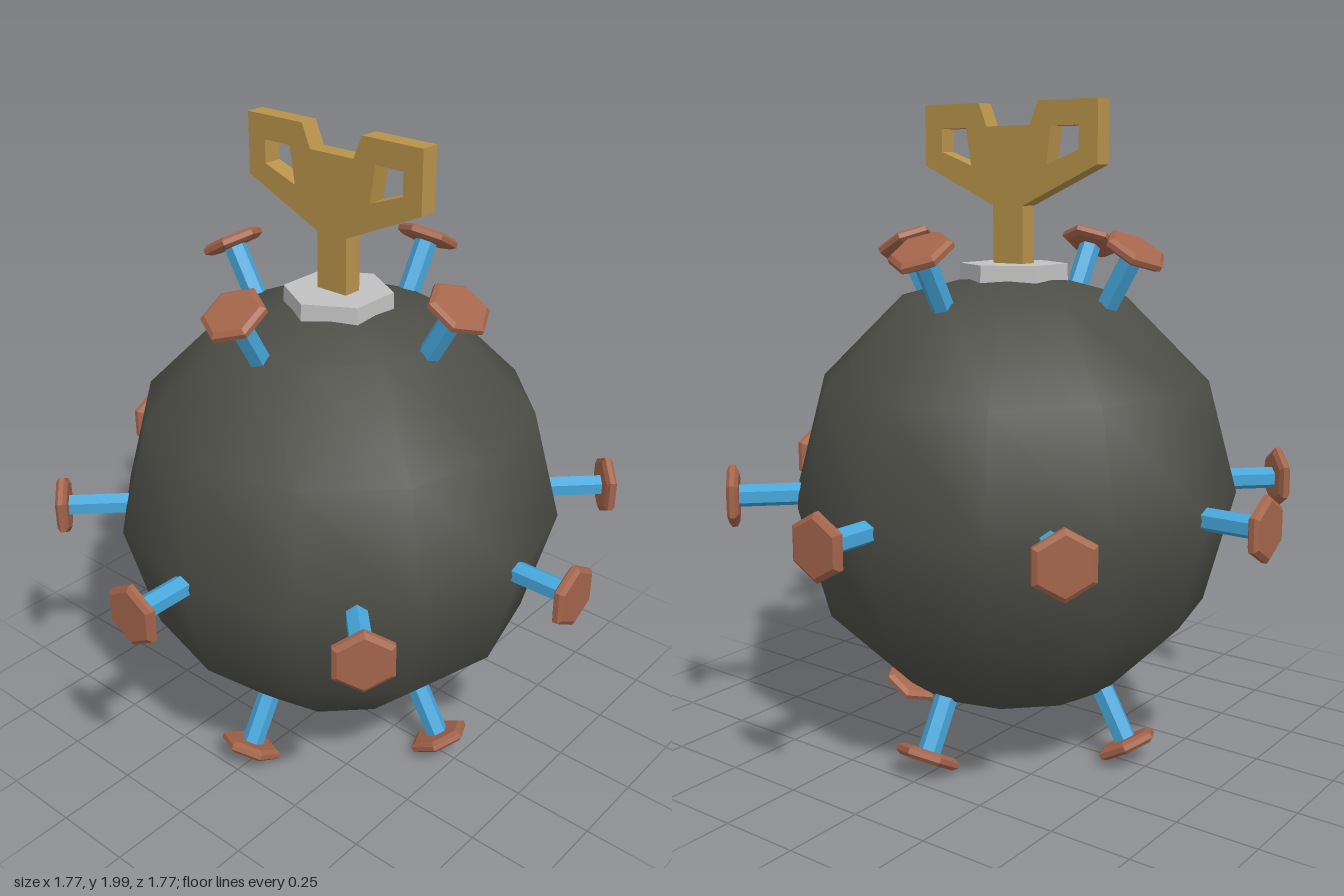
import * as THREE from 'three';

const mat = (name, color) => {
  const m = new THREE.MeshStandardMaterial({ color });
  m.name = name;
  return m;
};

// gives a geometry hard facets
function faceted(geometry) {
  const g = geometry.toNonIndexed();
  g.computeVertexNormals();
  return g;
}

function part(name, geometry, material, y = 0) {
  const mesh = new THREE.Mesh(geometry, material);
  mesh.name = name;
  mesh.position.y = y;
  return mesh;
}

export function createModel() {
  const iron = mat('dark iron', 0x4e4e48);
  const blue = mat('blue', 0x46a6da);
  const copper = mat('copper', 0xa4654b);
  const brass = mat('brass', 0xb8924a);
  const silver = mat('silver', 0xc2c2c2);

  const model = new THREE.Group();
  model.name = 'windUpMine';
  const centreY = 0.82;

  // body
  model.add(part('body', new THREE.SphereGeometry(0.695, 12, 6), iron, centreY));

  // horns: six-sided rod with a bevelled hexagonal cap
  const rodGeo = faceted(new THREE.CylinderGeometry(0.035, 0.035, 0.3, 6));
  const capProfile = [[0, 0.85], [0.08, 0.85], [0.098, 0.86], [0.098, 0.875], [0.083, 0.885], [0, 0.885]];
  const capGeo = faceted(new THREE.LatheGeometry(capProfile.map(([r, y]) => new THREE.Vector2(r, y)), 6));

  function addHorn(azimuth, elevation) {
    const horn = new THREE.Group();
    horn.name = 'horn';
    horn.add(part('hornRod', rodGeo, blue, 0.71), part('hornCap', capGeo, copper));
    horn.position.y = centreY;
    horn.rotation.set(Math.PI / 2 - elevation, azimuth, 0, 'YXZ');
    model.add(horn);
  }
  for (let i = 0; i < 8; i++) addHorn(i * Math.PI / 4, 0);
  for (let i = 0; i < 4; i++) {
    addHorn(i * Math.PI / 2, Math.PI / 3);
    addHorn(i * Math.PI / 2, -Math.PI / 3);
  }

  // collar around the key
  model.add(part('keyCollar', faceted(new THREE.CylinderGeometry(0.165, 0.168, 0.09, 6)), silver, 1.477));

  // wind-up key: mirrored outline with a window in each wing
  const half = [[0.055, 1.46], [0.055, 1.695], [0.32, 1.815], [0.32, 2], [0.11, 2], [0.08, 1.93]];
  const outline = [...half, ...half.map(([x, y]) => [-x, y]).reverse()];
  const shape = new THREE.Shape(outline.map(([x, y]) => new THREE.Vector2(x, y)));
  const hole = [[0.255, 1.927], [0.158, 1.927], [0.14, 1.815], [0.255, 1.857]];
  for (const s of [1, -1]) {
    shape.holes.push(new THREE.Path(hole.map(([x, y]) => new THREE.Vector2(s * x, y))));
  }
  const keyGeo = new THREE.ExtrudeGeometry(shape, { depth: 0.06, bevelEnabled: false });
  keyGeo.translate(0, 0, -0.03);
  model.add(part('key', keyGeo, brass));

  return model;
}
